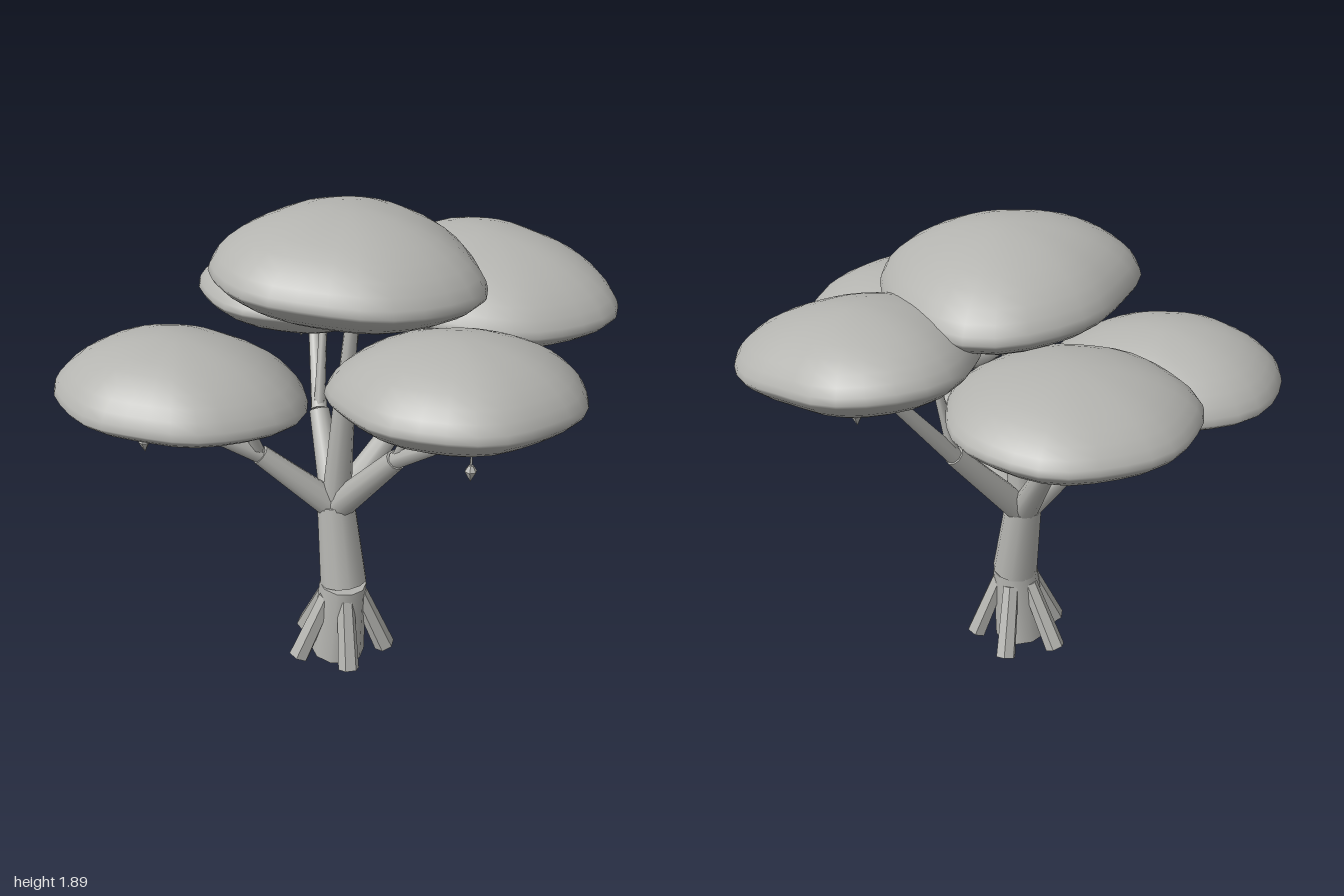
import * as THREE from 'three';
import { mergeVertices } from 'three/addons/utils/BufferGeometryUtils.js';

const grey = new THREE.MeshStandardMaterial({ color: 0xb4b4b0 });
grey.name = 'stone grey';

const UP = new THREE.Vector3(0, 1, 0);
const V = (x, y, z) => new THREE.Vector3(x, y, z);

function part(name, geometry) {
  const mesh = new THREE.Mesh(geometry, grey);
  mesh.name = name;
  return mesh;
}

// Give every facet its own normal
function faceted(geometry) {
  const flat = geometry.toNonIndexed();
  flat.computeVertexNormals();
  return flat;
}

// Tapered limb between two points
function limb(name, from, to, r0, r1, sides = 10, flat = false) {
  const dir = to.clone().sub(from);
  const tube = new THREE.CylinderGeometry(r1, r0, dir.length(), sides);
  const mesh = part(name, flat ? faceted(tube) : tube);
  mesh.position.copy(from).add(to).multiplyScalar(0.5);
  mesh.quaternion.setFromUnitVectors(UP, dir.normalize());
  return mesh;
}

// Leaf cloud: a flattened sphere with a sharpened rim, whose outline swells in two and three lobes
function leafCloud({ centre, radius, rise, drop, tilt, two, three }) {
  const sphere = new THREE.SphereGeometry(1, 30, 18);
  sphere.deleteAttribute('uv');
  sphere.deleteAttribute('normal');
  const geo = mergeVertices(sphere);
  const p = geo.attributes.position;
  for (let i = 0; i < p.count; i++) {
    const t = Math.atan2(p.getZ(i), p.getX(i));
    const r = radius + two[0] * Math.cos(2 * t) + two[1] * Math.sin(2 * t)
      + three[0] * Math.cos(3 * t) + three[1] * Math.sin(3 * t) + 0.006 * Math.sin(7 * t);
    const x = p.getX(i) * r, z = p.getZ(i) * r, h = p.getY(i);
    const y = h > 0 ? rise * h ** 1.25 : -drop * (-h) ** 1.5;
    p.setXYZ(i, x, y + tilt[0] * x + tilt[1] * z, z);
  }
  geo.computeVertexNormals();
  const mesh = part('leafCloud', geo);
  mesh.position.set(...centre);
  return mesh;
}

// Hanging fruit: double cone with a short stem
function fruit(position) {
  const g = new THREE.Group();
  g.name = 'hangingFruit';
  const profile = [V(0, -0.035), V(0.022, 0.006), V(0.009, 0.026), V(0, 0.028)];
  g.add(part('fruitBody', faceted(new THREE.LatheGeometry(profile, 6))));
  g.add(limb('fruitStem', V(0, 0.02, 0), V(0, 0.09, 0), 0.004, 0.004, 5));
  g.position.set(...position);
  return g;
}

// Bough: thick branch to an elbow, thinner one to the tip, a twig, leaf cloud and fruit
function bough({ elbow, tip, twig, cloud, fruits }) {
  const g = new THREE.Group();
  g.name = 'bough';
  const a = V(...elbow);
  g.add(limb('branch', V(0.005, 0.66, 0.105), a, 0.06, 0.04));
  g.add(limb('outerBranch', a, V(...tip), 0.034, 0.024, 8));
  g.add(limb('twig', a, V(...twig), 0.024, 0.016, 6));
  g.add(leafCloud(cloud), ...fruits.map(fruit));
  return g;
}

const BOUGHS = [
  // front right
  { elbow: [-0.26, 0.92, 0.23], tip: [-0.52, 1.1, 0.38], twig: [-0.3, 1.14, 0.32],
    fruits: [[-0.64, 1.02, 0.44], [-0.4, 1.03, 0.27]],
    cloud: { centre: [-0.52, 1.2, 0.35], radius: 0.445, rise: 0.23, drop: 0.13,
      tilt: [-0.04, 0.03], two: [0.034, 0.013], three: [0.007, 0] } },
  // front left
  { elbow: [0.28, 0.99, 0.27], tip: [0.56, 1.2, 0.44], twig: [0.37, 1.22, 0.33],
    fruits: [[0.6, 1.13, 0.56], [0.48, 1.13, 0.33]],
    cloud: { centre: [0.52, 1.34, 0.42], radius: 0.442, rise: 0.22, drop: 0.16,
      tilt: [0.02, 0.08], two: [0.005, 0], three: [-0.008, -0.01] } },
  // back right
  { elbow: [-0.12, 0.98, -0.1], tip: [-0.23, 1.28, -0.4], twig: [-0.13, 1.3, -0.2],
    fruits: [[-0.2, 1.18, -0.37], [-0.3, 1.18, -0.45]],
    cloud: { centre: [-0.25, 1.41, -0.41], radius: 0.45, rise: 0.18, drop: 0.17,
      tilt: [0, -0.02], two: [-0.006, 0], three: [-0.003, 0.003] } },
  // back left
  { elbow: [0.24, 1.02, -0.11], tip: [0.45, 1.36, -0.29], twig: [0.31, 1.39, -0.12],
    fruits: [[0.46, 1.29, -0.2], [0.54, 1.29, -0.35]],
    cloud: { centre: [0.525, 1.5, -0.285], radius: 0.452, rise: 0.21, drop: 0.17,
      tilt: [-0.08, -0.08], two: [0.002, 0.023], three: [0.022, 0] } },
  // crown
  { elbow: [0.05, 1.16, 0.14], tip: [0.08, 1.52, 0.13], twig: [0.09, 1.52, 0.09], fruits: [],
    cloud: { centre: [0.07, 1.65, 0.12], radius: 0.505, rise: 0.24, drop: 0.175,
      tilt: [-0.05, 0.02], two: [-0.017, 0.007], three: [0.005, 0.025] } },
];

export function createModel() {
  const tree = new THREE.Group();
  tree.name = 'tree';

  // Trunk in two leaning sections
  tree.add(limb('trunkBase', V(0.02, 0.01, 0.14), V(0.045, 0.34, 0.145), 0.11, 0.095, 10));
  tree.add(limb('trunk', V(0.045, 0.345, 0.14), V(0.005, 0.68, 0.105), 0.095, 0.076, 12));

  // Five splayed roots
  for (let i = 0; i < 5; i++) {
    const t = Math.PI * (0.75 + 0.4 * i), c = Math.cos(t), s = Math.sin(t);
    const foot = V(0.02 + 0.19 * c, 0.022, 0.115 + 0.19 * s);
    tree.add(limb('root', foot, V(0.04 + 0.07 * c, 0.29, 0.14 + 0.07 * s), 0.043, 0.035, 6, true));
  }

  tree.add(...BOUGHS.map(bough));
  return tree;
}
